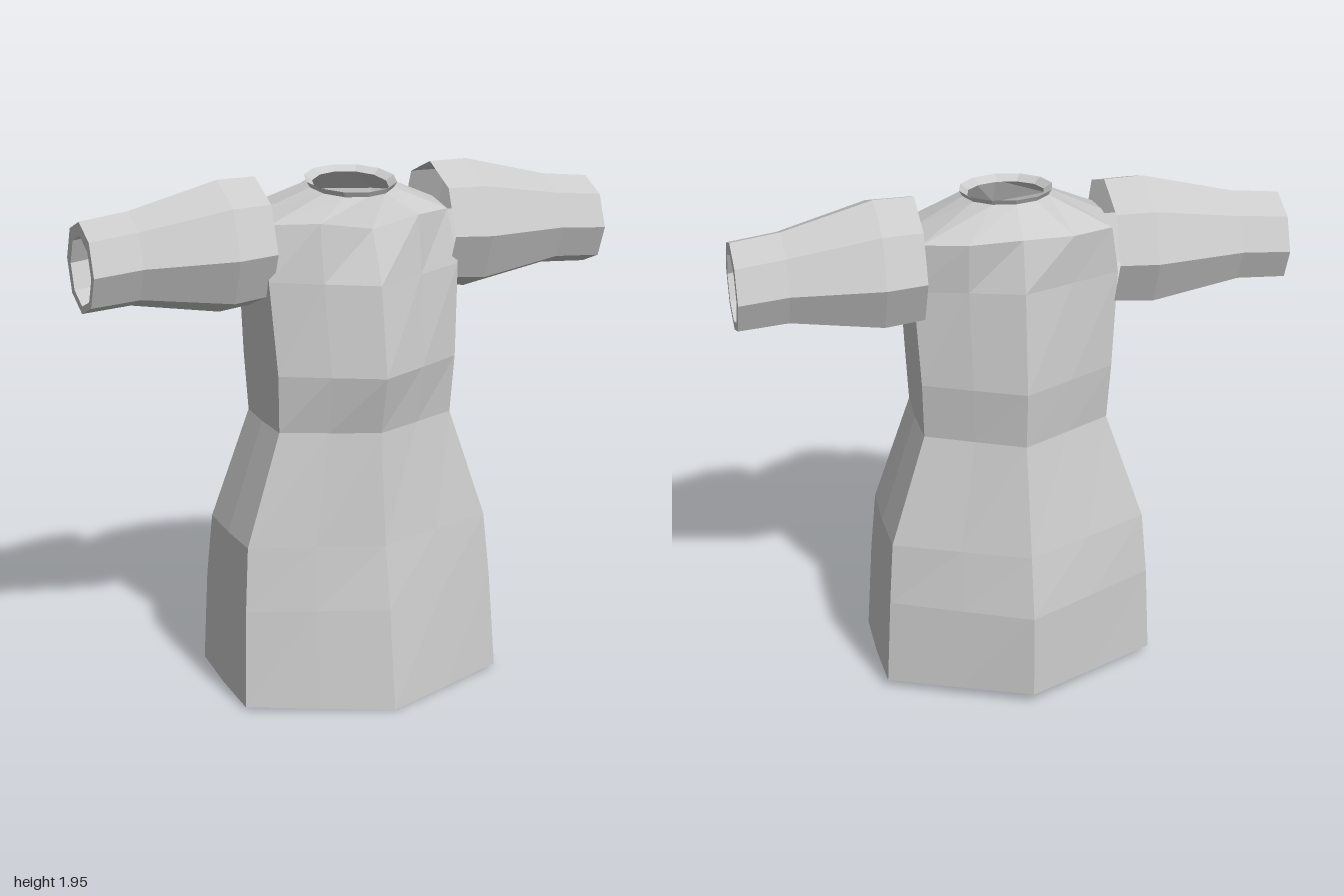
import * as THREE from 'three';

const cloth = new THREE.MeshStandardMaterial({ color: 0xcccccc, side: THREE.DoubleSide, flatShading: true });
cloth.name = 'pale grey cloth';

// Skin a list of closed rings (arrays of [x, y, z]) with quads
function loft(rings) {
  const n = rings[0].length, index = [];
  for (let r = 0; r < rings.length - 1; r++) {
    for (let i = 0; i < n; i++) {
      const j = (i + 1) % n;
      const a = r * n + i, b = r * n + j, c = a + n, d = b + n;
      index.push(a, b, d, a, d, c);
    }
  }
  const g = new THREE.BufferGeometry();
  g.setAttribute('position', new THREE.Float32BufferAttribute(rings.flat(2), 3));
  g.setIndex(index);
  const flat = g.toNonIndexed();
  flat.computeVertexNormals();
  return flat;
}

// Twelve-point ring from its front-to-back half on the +x side
function mirrorRing(half) {
  const other = half.slice(1, -1).reverse().map(([x, y, z]) => [-x, y, z]);
  return [...half, ...other];
}

// Six-cornered garment section with middle points on each panel
function bodyRing([yFront, yBack, w, front, cornerF, cornerB, back]) {
  const y = (z) => yFront + (yBack - yFront) * (front - z) / (front - back);
  const pts = [
    [0, front], [w * 0.5, (front + cornerF) / 2], [w - 0.008, cornerF],
    [w, (cornerF + cornerB) / 2],
    [w - 0.004, cornerB], [w * 0.5, (back + cornerB) / 2], [0, back],
  ];
  return mirrorRing(pts.map(([x, z]) => [x, y(z), z]));
}

// Round collar ring, raised towards the back
function neckRing(radius, yFront, yBack) {
  const half = [];
  for (let i = 0; i <= 6; i++) {
    const a = i * Math.PI / 6, c = Math.cos(a);
    half.push([radius * Math.sin(a), (yFront + yBack) / 2 + c * (yFront - yBack) / 2, 0.02 + radius * c]);
  }
  return mirrorRing(half);
}

// Octagonal sleeve section
function sleeveRing([x, y, z, r]) {
  return Array.from({ length: 8 }, (_, i) => {
    const a = i * Math.PI / 4;
    return [x, y + r * Math.cos(a), z + r * Math.sin(a)];
  });
}

export function createModel() {
  const model = new THREE.Group();
  model.name = 'tunic';

  // Skirt and bodice: inner hem, outer wall, shoulders, collar
  const rows = [
    [0.40, 0.40, 0.465, 0.36, 0.18, -0.17, -0.40],
    [0.01, 0.055, 0.48, 0.41, 0.21, -0.18, -0.405],
    [0.00, 0.045, 0.52, 0.453, 0.238, -0.21, -0.448],
    [0.38, 0.38, 0.503, 0.40, 0.21, -0.208, -0.445],
    [0.62, 0.62, 0.485, 0.357, 0.19, -0.19, -0.40],
    [1.04, 1.04, 0.348, 0.31, 0.165, -0.145, -0.313],
    [1.26, 1.26, 0.357, 0.365, 0.185, -0.165, -0.33],
    [1.59, 1.64, 0.378, 0.31, 0.155, -0.15, -0.29],
  ];
  const shoulders = mirrorRing([
    [0, 1.78, 0.225], [0.19, 1.81, 0.2], [0.345, 1.80, 0.11], [0.345, 1.82, -0.02],
    [0.345, 1.81, -0.165], [0.19, 1.82, -0.23], [0, 1.83, -0.25],
  ]);
  const body = new THREE.Mesh(loft([
    ...rows.map(bodyRing),
    shoulders,
    neckRing(0.158, 1.885, 1.92),
    neckRing(0.17, 1.905, 1.94),
    neckRing(0.14, 1.885, 1.92),
  ]), cloth);
  body.name = 'body';
  model.add(body);

  // Sleeves: open at the shoulder, turned-in cuff at the wrist
  const sleeveGeometry = loft([
    [0.345, 1.71, -0.045, 0.235],
    [0.49, 1.702, -0.042, 0.243],
    [0.82, 1.687, -0.05, 0.172],
    [1.00, 1.67, -0.05, 0.167],
    [1.00, 1.66, -0.045, 0.128],
    [0.82, 1.68, -0.045, 0.132],
  ].map(sleeveRing));
  for (const side of [1, -1]) {
    const sleeve = new THREE.Mesh(sleeveGeometry, cloth);
    sleeve.name = side > 0 ? 'leftSleeve' : 'rightSleeve';
    sleeve.scale.x = side;
    model.add(sleeve);
  }
  return model;
}
